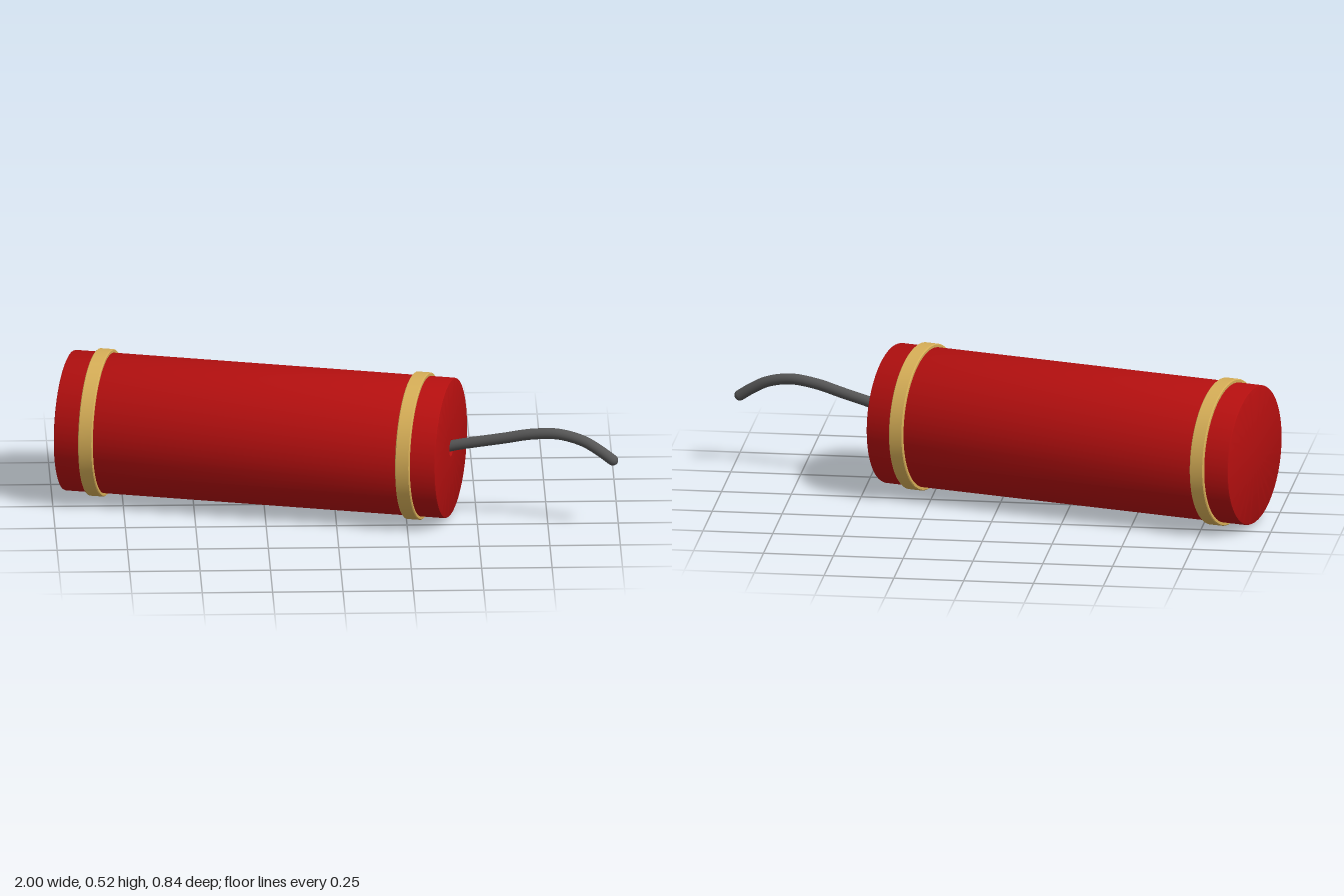
import * as THREE from 'three';
import { toCreasedNormals } from 'three/addons/utils/BufferGeometryUtils.js';

const RADIUS = 0.25, HALF = 0.696, BAND_RADIUS = 0.2625;

function material(name, color) {
  const m = new THREE.MeshStandardMaterial({ color });
  m.name = name;
  return m;
}

// Spins [radius, position] pairs around the x axis
function turned(points, closed = false) {
  const profile = points.map(([r, x]) => new THREE.Vector2(r, x));
  if (closed) profile.push(profile[0].clone());
  const geometry = new THREE.LatheGeometry(profile, 96).rotateZ(-Math.PI / 2);
  return toCreasedNormals(geometry, 0.5);
}

export function createModel() {
  const red = material('red casing', 0xb30f0f);
  const gold = material('gold band', 0xd6ae57);
  const grey = material('grey fuse', 0x555555);

  const model = new THREE.Group();
  model.name = 'fusedTube';
  const add = (name, geometry, mat, x = 0) => {
    const mesh = new THREE.Mesh(geometry, mat);
    mesh.name = name;
    mesh.position.x = x;
    model.add(mesh);
    return mesh;
  };

  // Casing with slightly eased rims and a small recess for the fuse
  const b = 0.006;
  add('casing', turned([
    [0, -HALF], [RADIUS - b, -HALF], [RADIUS - b * 0.3, -HALF + b * 0.3], [RADIUS, -HALF + b],
    [RADIUS, HALF - b], [RADIUS - b * 0.3, HALF - b * 0.3], [RADIUS - b, HALF],
    [0.03, HALF], [0.027, HALF - 0.015], [0.018, HALF - 0.025], [0, HALF - 0.03],
  ]), red);

  // Raised bands near both ends
  const w = 0.026, e = 0.003;
  const band = turned([
    [RADIUS - 0.01, -w], [BAND_RADIUS - e, -w], [BAND_RADIUS, -w + e],
    [BAND_RADIUS, w - e], [BAND_RADIUS - e, w], [RADIUS - 0.01, w],
  ], true);
  add('leftBand', band, gold, 0.578);
  add('rightBand', band, gold, -0.578);

  // Fuse arching out of the recess, with a rounded tip
  const path = new THREE.CatmullRomCurve3([
    [0.665, 0], [0.72, 0.015], [0.89, 0.052], [0.99, 0.074],
    [1.09, 0.081], [1.18, 0.061], [1.24, 0.029], [1.285, -0.001],
  ].map(([x, y]) => new THREE.Vector3(x, y, 0)));
  const fuseRadius = 0.0195;
  add('fuse', new THREE.TubeGeometry(path, 64, fuseRadius, 20), grey);
  const tip = add('fuseTip', new THREE.SphereGeometry(fuseRadius, 20, 12), grey);
  tip.position.copy(path.getPoint(1));

  // Lying on its side, turned slightly toward the front
  model.rotation.y = -Math.PI / 12;
  model.position.set(-0.263, BAND_RADIUS, -0.002);

  const root = new THREE.Group();
  root.name = 'model';
  root.add(model);
  return root;
}
